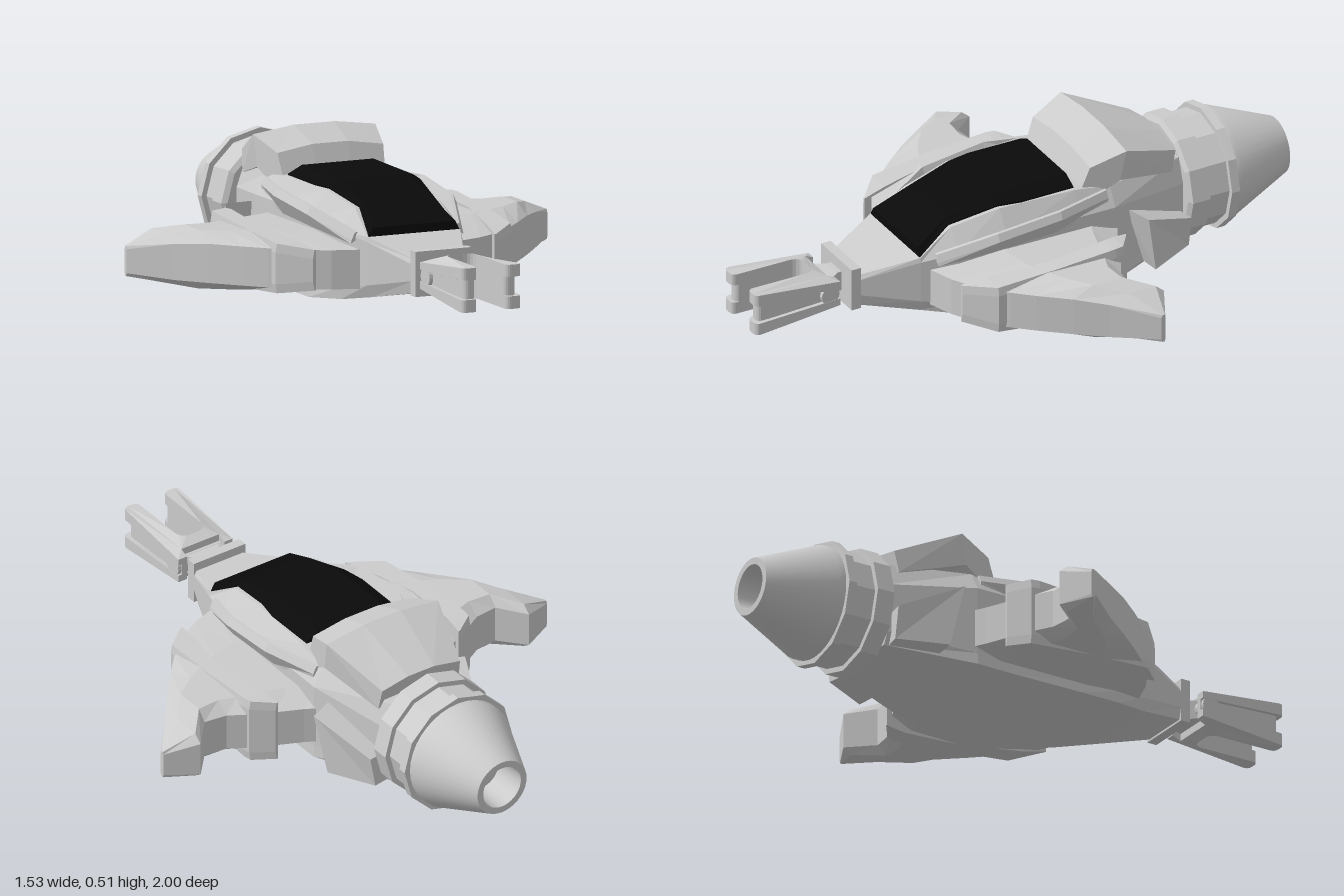
import * as THREE from 'three';
import { toCreasedNormals } from 'three/addons/utils/BufferGeometryUtils.js';

const grey = new THREE.MeshStandardMaterial({ color: 0xcccccc, flatShading: true });
const smooth = new THREE.MeshStandardMaterial({ color: 0xcccccc, side: THREE.DoubleSide });
const black = new THREE.MeshStandardMaterial({ color: 0x0a0a0a, flatShading: true });

// Closed solid through a row of convex loops of [x, y, z]; faces always turn outward.
function loft(loops) {
  const tris = [];
  const n = loops[0].length;
  for (let i = 0; i < loops.length - 1; i++) {
    for (let j = 0; j < n; j++) {
      const k = (j + 1) % n, a = loops[i], b = loops[i + 1];
      tris.push([a[j], a[k], b[k]], [a[j], b[k], b[j]]);
    }
  }
  const last = loops[loops.length - 1];
  for (let j = 1; j < n - 1; j++) {
    tris.push([loops[0][0], loops[0][j + 1], loops[0][j]], [last[0], last[j], last[j + 1]]);
  }
  let volume = 0;
  for (const [a, b, c] of tris) {
    volume += new THREE.Vector3(...a).dot(new THREE.Vector3(...b).cross(new THREE.Vector3(...c)));
  }
  if (volume < 0) tris.forEach((t) => t.reverse());
  const g = new THREE.BufferGeometry();
  g.setAttribute('position', new THREE.Float32BufferAttribute(tris.flat(2), 3));
  g.computeVertexNormals();
  return g;
}

// Mirror a half outline of [x, y] (bottom to top) into a full loop at depth z.
const symmetric = (half, z) => [
  ...half.map(([x, y]) => [x, y, z]),
  ...[...half].reverse().map(([x, y]) => [-x, y, z]),
];

export function createModel() {
  const model = new THREE.Group();
  const add = (name, geometry, material = grey, parent = model) => {
    const mesh = new THREE.Mesh(geometry, material);
    mesh.name = name;
    parent.add(mesh);
    return mesh;
  };

  // Hull: z, bottom y, bottom half width, shoulder y and half width, top y and half width
  const hull = [
    [0.61, 0.105, 0.09, 0.20, 0.10, 0.215, 0.09],
    [0.42, 0.065, 0.155, 0.25, 0.172, 0.266, 0.168],
    [0.30, 0.043, 0.205, 0.27, 0.21, 0.342, 0.155],
    [0.13, 0.025, 0.24, 0.29, 0.235, 0.378, 0.178],
    [-0.14, 0.025, 0.24, 0.30, 0.238, 0.38, 0.195],
    [-0.27, 0.027, 0.24, 0.30, 0.238, 0.365, 0.20],
    [-0.57, 0.06, 0.14, 0.27, 0.16, 0.355, 0.13],
  ];
  add('hull', loft(hull.map(([z, yb, wb, ys, ws, yt, wt]) =>
    symmetric([[wb, yb], [ws, yb + 0.04], [ws, ys], [wt, yt]], z))));

  // Canopy: z, base y, half width, edge y, crown half width, crown y
  const canopy = [
    [0.42, 0.26, 0.165, 0.268, 0.15, 0.295],
    [0.30, 0.33, 0.14, 0.347, 0.12, 0.36],
    [0.13, 0.36, 0.165, 0.385, 0.125, 0.403],
    [0.05, 0.365, 0.18, 0.385, 0.13, 0.407],
    [-0.145, 0.365, 0.18, 0.385, 0.13, 0.41],
  ];
  add('canopy', loft(canopy.map(([z, yb, w, ye, wt, yt]) =>
    symmetric([[w, yb], [w, ye], [wt, yt]], z))), black);

  // Hood behind the canopy, widest at its crest
  const hoodShape = new THREE.Shape([
    [-0.17, 0.385], [-0.20, 0.465], [-0.32, 0.51], [-0.54, 0.42],
    [-0.525, 0.345], [-0.30, 0.405], [-0.22, 0.355],
  ].map(([z, y]) => new THREE.Vector2(z, y)));
  const hood = new THREE.ExtrudeGeometry(hoodShape, { depth: 2, steps: 3, bevelEnabled: false });
  const hp = hood.attributes.position;
  for (let i = 0; i < hp.count; i++) {
    const z = hp.getX(i), y = hp.getY(i), t = hp.getZ(i) - 1;
    const w = z > -0.33
      ? THREE.MathUtils.mapLinear(z, -0.17, -0.33, 0.185, 0.225)
      : THREE.MathUtils.mapLinear(z, -0.33, -0.54, 0.225, 0.155);
    hp.setXYZ(i, -t * w, y - (Math.abs(t) > 0.9 ? 0.02 : 0), z);
  }
  hood.computeVertexNormals();
  add('hood', hood);

  // Wing stations: x, front z, rear z, side y low/high, ridge y low/high
  const wing = [
    [0.18, 0.39, -0.31, 0.09, 0.22, 0.06, 0.255],
    [0.27, 0.36, -0.26, 0.09, 0.22, 0.06, 0.255],
    [0.36, 0.31, -0.22, 0.09, 0.22, 0.06, 0.255],
    [0.44, 0.235, -0.18, 0.09, 0.22, 0.06, 0.255],
    [0.50, 0.17, -0.145, 0.09, 0.22, 0.06, 0.255],
    [0.58, 0.075, -0.135, 0.09, 0.22, 0.06, 0.255],
    [0.655, -0.02, -0.22, 0.09, 0.21, 0.07, 0.235],
    [0.765, -0.15, -0.165, 0.10, 0.18, 0.09, 0.19],
  ];
  // Collar stations: z, inner x, outer x, low y, high y
  const collar = [
    [0.355, 0.325, 0.335, 0.09, 0.225],
    [0.27, 0.34, 0.43, 0.075, 0.24],
    [0.05, 0.38, 0.445, 0.06, 0.26],
    [-0.16, 0.37, 0.445, 0.045, 0.275],
    [-0.19, 0.365, 0.44, 0.045, 0.275],
    [-0.24, 0.36, 0.37, 0.05, 0.27],
  ];
  // Strake stations: z, foot x and y, lip x and y
  const strake = [
    [0.37, 0.185, 0.25, 0.19, 0.275],
    [0.18, 0.225, 0.275, 0.26, 0.335],
    [-0.05, 0.225, 0.285, 0.268, 0.36],
    [-0.25, 0.20, 0.30, 0.215, 0.36],
  ];
  for (const s of [1, -1]) {
    const side = s > 0 ? 'left' : 'right';
    add(side + 'Wing', loft(wing.map(([x, f, r, y0, y1, b, t]) => {
      const a = f - 0.35 * (f - r), c = r + 0.15 * (f - r);
      return [[f, y0], [f, y1], [a, t], [c, t], [r, y1], [r, y0], [c, b], [a, b]]
        .map(([z, y]) => [s * x, y, z]);
    })));
    add(side + 'WingCollar', loft(collar.map(([z, x0, x1, y0, y1]) => [
      [x0, y0], [x1 - 0.005, y0], [x1, y0 + 0.03], [x1, y1 - 0.03], [x1 - 0.005, y1], [x0, y1],
    ].map(([x, y]) => [s * x, y, z]))));
    add(side + 'Strake', loft(strake.map(([z, x0, y0, x1, y1]) => [
      [x0, y0], [x0 + 0.02, y0 - 0.012], [x1 + 0.012, y1 - 0.025], [x1, y1], [x1 - 0.012, y1],
    ].map(([x, y]) => [s * x, y, z]))));
    add(side + 'RearBlock', loft([
      [[0.12, 0.06, -0.55], [0.20, 0.06, -0.565], [0.275, 0.05, -0.40], [0.18, 0.05, -0.39]],
      [[0.13, 0.17, -0.55], [0.22, 0.17, -0.565], [0.302, 0.26, -0.36], [0.20, 0.27, -0.32]],
    ].map((loop) => loop.map(([x, y, z]) => [s * x, y, z]))));
  }

  // Engine: faceted collar rings and a smooth hollow nozzle, points are [radius, distance back]
  const engine = new THREE.Group();
  engine.name = 'engine';
  engine.position.y = 0.217;
  model.add(engine);
  const lathe = (name, points, sides, material) => {
    const g = new THREE.LatheGeometry(points.map((p) => new THREE.Vector2(...p)), sides);
    g.rotateX(-Math.PI / 2);
    add(name, sides > 12 ? toCreasedNormals(g, 0.5) : g, material, engine);
  };
  lathe('engineMount', [[0, 0.54], [0.155, 0.54], [0.155, 0.58], [0, 0.58]], 12, grey);
  lathe('frontRing', [[0, 0.565], [0.195, 0.565], [0.213, 0.575], [0.213, 0.64], [0, 0.64]], 12, grey);
  lathe('engineDrum', [[0.195, 0.63], [0.195, 0.73]], 12, grey);
  lathe('rearRing', [[0, 0.72], [0.213, 0.72], [0.213, 0.75], [0, 0.75]], 12, grey);
  lathe('nozzle', [[0.192, 0.745], [0.192, 0.775], [0.098, 1], [0.075, 1], [0.07, 0.88], [0, 0.88]], 36, smooth);

  // Nose plate and tapered neck
  const box = (name, w, h, d, x, y, z, parent = model) =>
    add(name, new THREE.BoxGeometry(w, h, d), grey, parent).position.set(x, y, z);
  box('nosePlate', 0.205, 0.15, 0.035, 0, 0.172, 0.622);
  add('neck', loft([
    symmetric([[0.035, 0.14], [0.035, 0.21]], 0.63),
    symmetric([[0.035, 0.14], [0.035, 0.21]], 0.655),
    symmetric([[0.075, 0.145], [0.075, 0.205]], 0.72),
  ]));

  // Claw: U-shaped layers, the middle one narrower to leave side grooves
  const claw = new THREE.Group();
  claw.name = 'claw';
  model.add(claw);
  const clawLayer = (name, y0, y1, inset) => {
    const w = 0.108 - inset, i = 0.052, tip = 1 - inset;
    const u = new THREE.Shape();
    u.moveTo(-w, 0.685);
    u.lineTo(-0.075, 0.685);
    u.lineTo(-0.075, 0.715);
    u.lineTo(0.075, 0.715);
    u.lineTo(0.075, 0.685);
    u.lineTo(w, 0.685);
    u.lineTo(w, tip - 0.02);
    u.quadraticCurveTo(w, tip, w - 0.02, tip);
    u.lineTo(i + 0.02, tip);
    u.quadraticCurveTo(i, tip, i, tip - 0.02);
    u.lineTo(i, 0.79);
    u.quadraticCurveTo(i, 0.75, i - 0.035, 0.75);
    u.lineTo(0.035 - i, 0.75);
    u.quadraticCurveTo(-i, 0.75, -i, 0.79);
    u.lineTo(-i, tip - 0.02);
    u.quadraticCurveTo(-i, tip, -i - 0.02, tip);
    u.lineTo(0.02 - w, tip);
    u.quadraticCurveTo(-w, tip, -w, tip - 0.02);
    const g = new THREE.ExtrudeGeometry(u, { depth: y1 - y0, bevelEnabled: false, curveSegments: 5 });
    g.rotateX(Math.PI / 2).translate(0, y1, 0);
    // Pinch the height toward the hinge
    const p = g.attributes.position;
    for (let k = 0; k < p.count; k++) {
      const f = THREE.MathUtils.clamp(THREE.MathUtils.mapLinear(p.getZ(k), 0.685, 0.75, 0.6, 1), 0.6, 1);
      p.setY(k, 0.177 + (p.getY(k) - 0.177) * f);
    }
    g.computeVertexNormals();
    add(name, g, grey, claw);
  };
  clawLayer('clawLower', 0.103, 0.145, 0);
  clawLayer('clawCore', 0.145, 0.21, 0.014);
  clawLayer('clawUpper', 0.21, 0.25, 0);
  const hinge = new THREE.CylinderGeometry(0.033, 0.033, 0.214, 16).rotateZ(Math.PI / 2);
  add('clawHinge', hinge, grey, claw).position.set(0, 0.177, 0.72);

  return model;
}
